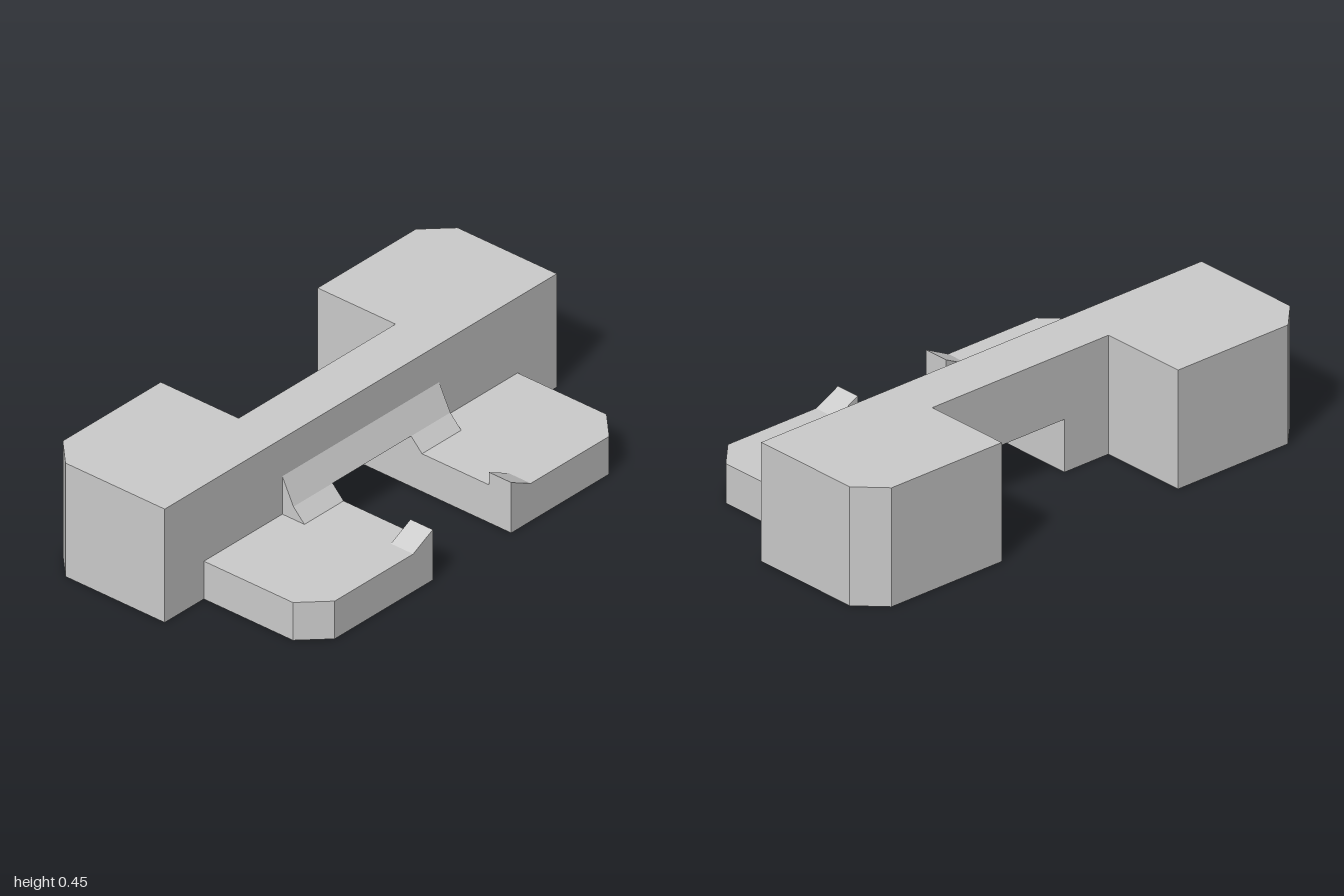
import * as THREE from 'three';

const material = new THREE.MeshStandardMaterial({ color: 0xcccccc, flatShading: true, side: THREE.DoubleSide });

// Key x positions, back to front edge of the feet
const BACK = -0.522, BACK_CUT = -0.422, BEAM = -0.173, FACE = 0.023;
const KNEE = 0.073, TOE = 0.122, TIP_CUT = 0.422, TIP = 0.522;
// Key heights
const ROOF = 0.45, FOOT = 0.15, ARCH = 0.2, SLOPE = 0.3;

// Triangles of one flat polygon, wound like its outline
function triangulate(points) {
  const n = new THREE.Vector3();
  points.forEach((p, i) => n.add(new THREE.Vector3().crossVectors(p, points[(i + 1) % points.length])));
  const size = [Math.abs(n.x), Math.abs(n.y), Math.abs(n.z)];
  const drop = size.indexOf(Math.max(...size));
  const flat = points.map((p) => new THREE.Vector2(p.getComponent((drop + 1) % 3), p.getComponent((drop + 2) % 3)));
  return THREE.ShapeUtils.triangulateShape(flat, []).flatMap((t) => {
    const [a, b, c] = t.map((i) => points[i]);
    const normal = b.clone().sub(a).cross(c.clone().sub(a));
    return normal.dot(n) < 0 ? [a, c, b] : [a, b, c];
  });
}

// One mesh from several polygons; side -1 mirrors it in z
function part(name, polygons, side) {
  const corners = polygons.flatMap((polygon) => {
    const points = polygon.map(([x, y, z]) => new THREE.Vector3(x, y, z * side));
    return triangulate(side < 0 ? points.reverse() : points);
  });
  const geometry = new THREE.BufferGeometry().setFromPoints(corners);
  geometry.computeVertexNormals();
  const mesh = new THREE.Mesh(geometry, material);
  mesh.name = name;
  return mesh;
}

// Upright panels along a plan path of [x, z]
function walls(path, bottom, top) {
  return path.slice(1).map(([x, z], i) => {
    const [px, pz] = path[i];
    return [[x, bottom, z], [px, bottom, pz], [px, top, pz], [x, top, z]];
  });
}

const level = (y, path) => path.map(([x, z]) => [x, y, z]);
const upright = (z, path) => path.map(([x, y]) => [x, y, z]);

function buildHalf(side) {
  const half = new THREE.Group();
  half.name = side > 0 ? 'frontHalf' : 'backHalf';

  // Tall block with a chamfered corner, open underneath
  half.add(part('tallBlockWalls', [
    ...walls([[FACE, 0.8], [FACE, 1], [BACK_CUT, 1], [BACK, 0.9], [BACK, 0.4], [BEAM, 0.4]], 0, ROOF),
    ...walls([[FACE, 0.4], [FACE, 0.8]], FOOT, ROOF),
  ], side));

  // Roof over block and half of the beam
  half.add(part('roof', [
    level(ROOF, [[FACE, 0], [BEAM, 0], [BEAM, 0.4], [BACK, 0.4], [BACK, 0.9], [BACK_CUT, 1], [FACE, 1]]),
  ], side));

  // Beam joining the two blocks, with the passage below it
  half.add(part('beam', [
    ...walls([[FACE, 0], [FACE, 0.4]], SLOPE, ROOF),
    ...walls([[BEAM, 0.2], [BEAM, 0]], ARCH, ROOF),
    ...walls([[BEAM, 0.4], [BEAM, 0.2]], 0, ROOF),
    level(ARCH, [[BEAM, 0], [KNEE, 0], [KNEE, 0.2], [BEAM, 0.2]]),
  ], side));

  // Passage wall, running out along the foot's inner side
  half.add(part('passageWall', [
    upright(0.2, [[BEAM, 0], [BEAM, ARCH], [KNEE, ARCH], [TOE, FOOT], [TIP_CUT, FOOT],
      [TIP_CUT, ARCH], [TIP, ARCH], [TIP, 0]]),
  ], side));

  // Sloped brace between beam and foot
  half.add(part('slopedBrace', [
    [[FACE, SLOPE, 0], [FACE, SLOPE, 0.4], [KNEE, ARCH, 0.4], [KNEE, ARCH, 0]],
    [[KNEE, ARCH, 0.2], [KNEE, ARCH, 0.4], [TOE, FOOT, 0.4], [TOE, FOOT, 0.2]],
    upright(0.4, [[FACE, FOOT], [TOE, FOOT], [KNEE, ARCH], [FACE, SLOPE]]),
  ], side));

  // Low foot
  half.add(part('foot', [
    ...walls([[TIP, 0.7], [TIP_CUT, 0.8], [FACE, 0.8]], 0, FOOT),
    [[TIP, 0, 0.7], [TIP, 0, 0.2], [TIP, ARCH, 0.2], [TIP, FOOT, 0.3], [TIP, FOOT, 0.7]],
    level(FOOT, [[TOE, 0.2], [TOE, 0.4], [FACE, 0.4], [FACE, 0.8], [TIP_CUT, 0.8],
      [TIP, 0.7], [TIP, 0.3], [TIP_CUT, 0.3], [TIP_CUT, 0.2]]),
  ], side));

  // Small wedge at the foot's inner tip
  half.add(part('tipWedge', [
    [[TIP_CUT, ARCH, 0.2], [TIP_CUT, FOOT, 0.3], [TIP, FOOT, 0.3], [TIP, ARCH, 0.2]],
    [[TIP_CUT, FOOT, 0.2], [TIP_CUT, FOOT, 0.3], [TIP_CUT, ARCH, 0.2]],
  ], side));
  return half;
}

export function createModel() {
  const model = new THREE.Group();
  model.name = 'bridgedBlock';
  model.add(buildHalf(1), buildHalf(-1));
  return model;
}
